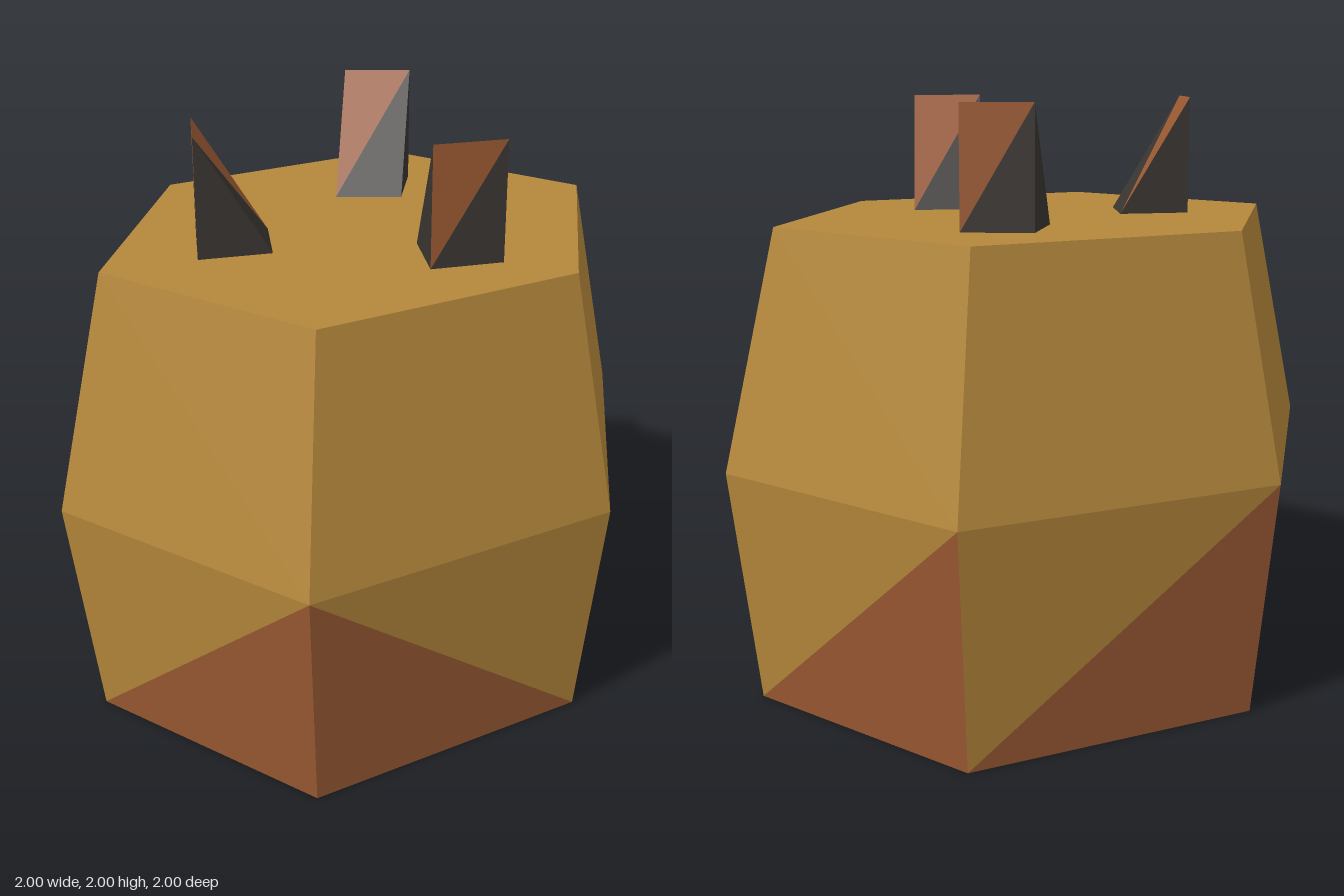
import * as THREE from 'three';

const tan = new THREE.MeshStandardMaterial({ color: 0xb5883b, flatShading: true });
const brown = new THREE.MeshStandardMaterial({ color: 0x9b5a33, flatShading: true });
const dark = new THREE.MeshStandardMaterial({ color: 0x3a3632, flatShading: true });

// Flat facets of a convex part; each triangle is wound to face away from the centre.
function facets(name, triangles, centre, material) {
  const points = [];
  for (const [a, b, c] of triangles) {
    const normal = b.clone().sub(a).cross(c.clone().sub(a));
    const outward = normal.dot(a.clone().sub(centre)) > 0;
    points.push(a, ...(outward ? [b, c] : [c, b]));
  }
  const geometry = new THREE.BufferGeometry().setFromPoints(points);
  geometry.computeVertexNormals();
  const mesh = new THREE.Mesh(geometry, material);
  mesh.name = name;
  return mesh;
}

// Six-sided ring of the body, stretched so it is as deep as it is wide.
function ring(radius, y) {
  return Array.from({ length: 6 }, (_, i) => {
    const angle = (i * Math.PI) / 3;
    return new THREE.Vector3(
      radius * Math.cos(angle), y, (radius * Math.sin(angle)) / Math.sin(Math.PI / 3));
  });
}

function createBody() {
  const low = ring(0.915, 0), mid = ring(1, 0.8), top = ring(0.83, 1.6);
  const upper = [], lower = [];
  // Which end of each lower side the brown patch climbs to (0 = start, 1 = end).
  const climbs = [1, 0, 1, 0, 0, 1];
  for (let i = 0; i < 6; i++) {
    const j = (i + 1) % 6;
    upper.push([mid[i], mid[j], top[j]], [mid[i], top[j], top[i]]);
    const [peak, foot] = climbs[i] ? [mid[j], low[i]] : [mid[i], low[j]];
    lower.push([low[i], low[j], peak]);
    upper.push([mid[i], mid[j], foot]);
    // top and bottom caps
    if (i > 0 && i < 5) {
      upper.push([top[0], top[i], top[j]]);
      lower.push([low[0], low[i], low[j]]);
    }
  }
  const centre = new THREE.Vector3(0, 0.8, 0);
  const group = new THREE.Group();
  group.name = 'body';
  group.add(facets('bodyShell', upper, centre, tan), facets('bodyBase', lower, centre, brown));
  return group;
}

// Wedge with a four-cornered foot a, b, c, d and its ridge straight above the edge a-b.
function createSpike(name, corners) {
  const [a, b, c, d] = corners.map(([x, z]) => new THREE.Vector3(x, 1.6, z));
  const [ridgeA, ridgeB] = [a, b].map((p) => p.clone().setY(2));
  const centre = new THREE.Vector3();
  for (const p of [a, b, c, d, ridgeA, ridgeB]) centre.addScaledVector(p, 1 / 6);
  const group = new THREE.Group();
  group.name = name;
  group.add(
    facets('spikeTip', [[ridgeA, ridgeB, b], [ridgeA, ridgeB, d]], centre, brown),
    facets('spikeFoot', [
      [ridgeA, a, b], [ridgeB, c, d], // rest of upright and sloping sides
      [ridgeA, a, d], [ridgeB, b, c], // ends
      [a, b, c], [a, c, d], // underside
    ], centre, dark));
  return group;
}

export function createModel() {
  const model = new THREE.Group();
  model.name = 'stump';
  model.add(
    createBody(),
    createSpike('frontSpike', [[-0.39, 0.385], [-0.23, 0.57], [-0.07, 0.385], [-0.23, 0.2]]),
    createSpike('sideSpike', [[0.59, 0.045], [0.43, 0.23], [0.265, 0.045], [0.43, -0.14]]),
    createSpike('backSpike', [[-0.355, -0.45], [-0.16, -0.58], [-0.045, -0.35], [-0.24, -0.22]]));
  return model;
}
